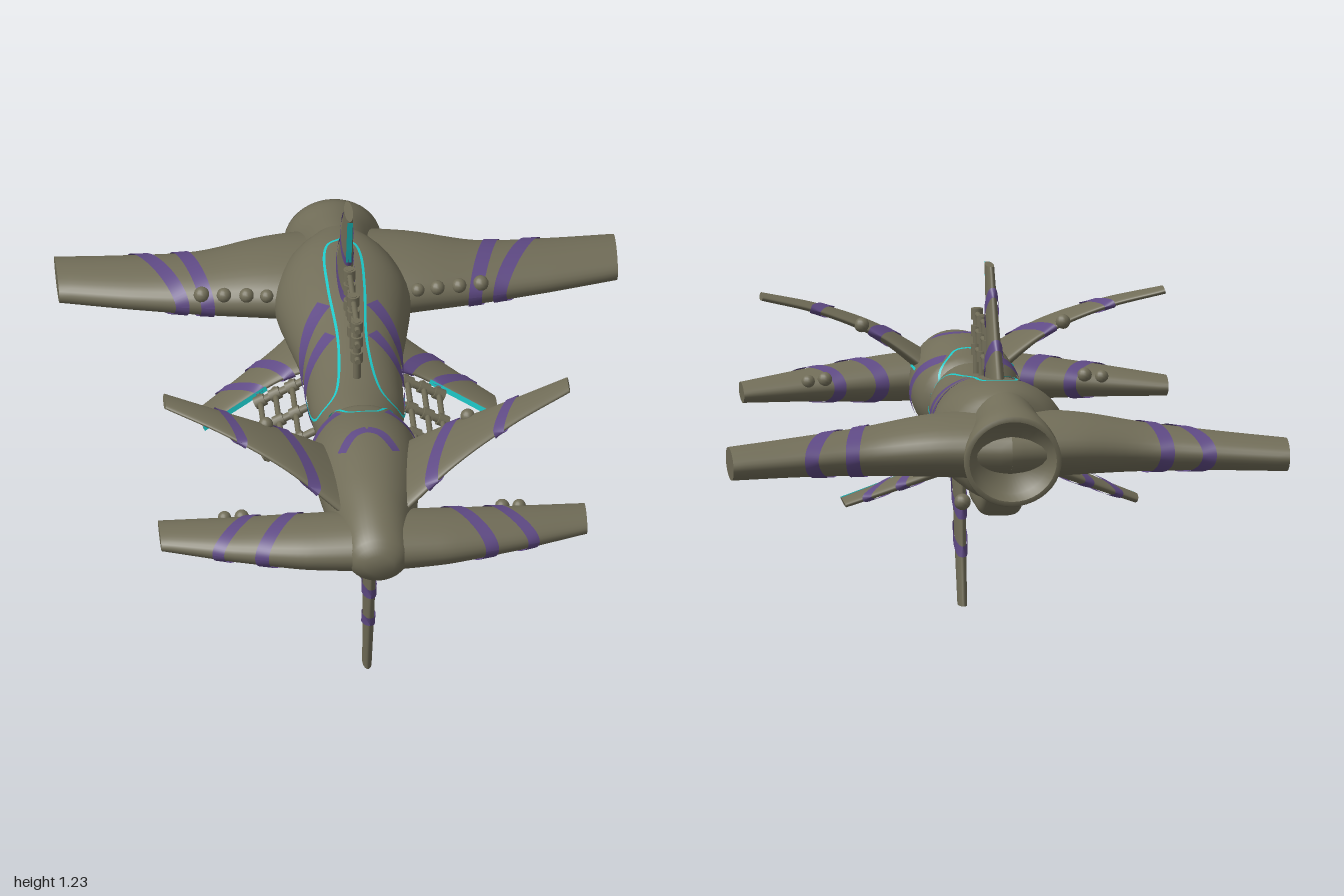
import * as THREE from 'three';

const V3 = (x, y, z) => new THREE.Vector3(x, y, z);
const paint = (name, color, side = THREE.FrontSide) => {
  const m = new THREE.MeshStandardMaterial({ color, side });
  m.name = name;
  return m;
};
const hullMat = paint('olive hull', 0x716d58);
const stripeMat = paint('purple stripe', 0x5f4a85, THREE.DoubleSide);
const glowMat = paint('cyan trim', 0x1cc8c8, THREE.DoubleSide);
const RAD = Math.PI / 180;

export function createModel() {
  const model = new THREE.Group();
  model.name = 'starship';

  const add = (name, geometry, material = hullMat, parent = model) => {
    const mesh = new THREE.Mesh(geometry, material);
    mesh.name = name;
    parent.add(mesh);
    return mesh;
  };

  // Joins rows of points into a smooth skin; closed rows wrap around
  const skin = (rows, closed = true) => {
    const n = rows[0].length, index = [];
    for (let i = 0; i < rows.length - 1; i++) {
      for (let j = 0; j < (closed ? n : n - 1); j++) {
        const k = (j + 1) % n, a = i * n, b = a + n;
        index.push(a + j, b + j, b + k, a + j, b + k, a + k);
      }
    }
    const g = new THREE.BufferGeometry().setFromPoints(rows.flat());
    g.setIndex(index);
    g.computeVertexNormals();
    return g;
  };
  const ring = (surf, u, n) => Array.from({ length: n }, (_, j) => surf(u, (j / n) * Math.PI * 2));
  const shrink = (row, s, dz = 0) => {
    const c = row.reduce((sum, p) => sum.add(p), V3(0, 0, 0)).divideScalar(row.length);
    return row.map(p => p.clone().sub(c).multiplyScalar(s).add(c).add(V3(0, 0, dz)));
  };

  // Painted band lying just above a surface, along a path of (u, v)
  const band = (name, surf, path, width, material, steps = 48) => {
    const e = 0.002, left = [], right = [];
    const at = t => { const [u, v] = path(t); return surf(u, v); };
    for (let i = 0; i <= steps; i++) {
      const t = i / steps, [u, v] = path(t);
      const du = surf(u + e, v).sub(surf(u - e, v)), dv = surf(u, v + e).sub(surf(u, v - e));
      const normal = du.cross(dv).normalize();
      const side = at(t + e).sub(at(t - e)).cross(normal).normalize().multiplyScalar(width / 2);
      const p = surf(u, v).addScaledVector(normal, 0.004);
      left.push(p.clone().sub(side));
      right.push(p.clone().add(side));
    }
    add(name, skin([left, right], false), material);
  };

  // Hull lofted from stations [z, half width, top, bottom]; u runs backwards along -z
  const hullSurface = (stations, power = 2) => {
    const slope = (i, k) => {
      const a = stations[Math.max(i - 1, 0)], b = stations[Math.min(i + 1, stations.length - 1)];
      return (b[k] - a[k]) / (b[0] - a[0]);
    };
    const value = (z, k) => {
      let i = 0;
      while (i < stations.length - 2 && z < stations[i + 1][0]) i++;
      const a = stations[i], b = stations[i + 1], h = b[0] - a[0];
      const t = THREE.MathUtils.clamp((z - a[0]) / h, 0, 1), s = 1 - t;
      return (1 + 2 * t) * s * s * a[k] + t * t * (3 - 2 * t) * b[k]
        + h * (t * s * s * slope(i, k) - t * t * s * slope(i + 1, k));
    };
    const bulge = q => Math.sign(q) * Math.abs(q) ** (2 / power);
    return (u, v) => {
      const top = value(-u, 2), bottom = value(-u, 3);
      return V3(value(-u, 1) * bulge(Math.cos(v)),
        (top + bottom) / 2 + (top - bottom) / 2 * bulge(Math.sin(v)), -u);
    };
  };
  const hull = (name, stations, { power, lean = 0, dish } = {}) => {
    const surf = hullSurface(stations, power), rows = [];
    const u0 = -stations[0][0], u1 = -stations[stations.length - 1][0];
    for (let i = 0; i <= 48; i++) rows.push(ring(surf, u0 + (u1 - u0) * i / 48, 40));
    const last = rows[48];
    rows.unshift(shrink(rows[0], 0));
    if (dish) rows.push(shrink(last, 0.9), shrink(last, 0.9), shrink(last, 0.75, 0.03), shrink(last, 0.4, 0.06), shrink(last, 0, 0.07));
    else rows.push(last, shrink(last, 0));
    // Lean tilts the tail so that its top reaches furthest back
    if (lean) new Set(rows.flat()).forEach(p => { p.z -= (p.y - 0.68) * lean * THREE.MathUtils.smoothstep(-p.z, 0.75, 0.93); });
    add(name, skin(rows), hullMat);
    return surf;
  };

  const front = hull('frontHull', [
    [1, 0.05, 0.73, 0.66], [0.97, 0.09, 0.77, 0.62], [0.9, 0.11, 0.81, 0.59], [0.8, 0.125, 0.845, 0.57],
    [0.7, 0.145, 0.865, 0.56], [0.5, 0.17, 0.885, 0.55], [0.4, 0.175, 0.875, 0.55],
    [0.3, 0.165, 0.85, 0.56], [0.24, 0.135, 0.83, 0.58], [0.2, 0.06, 0.76, 0.63]]);
  const mid = hull('midHull', [
    [0.32, 0.1, 0.83, 0.57], [0.22, 0.13, 0.825, 0.57], [0.1, 0.15, 0.82, 0.57], [0, 0.155, 0.825, 0.57],
    [-0.2, 0.165, 0.85, 0.56], [-0.4, 0.2, 0.88, 0.55], [-0.55, 0.22, 0.895, 0.53],
    [-0.65, 0.205, 0.9, 0.52], [-0.73, 0.17, 0.89, 0.52], [-0.78, 0.1, 0.88, 0.55]]);
  hull('tailPod', [
    [-0.6, 0.12, 0.89, 0.52], [-0.75, 0.125, 0.885, 0.52], [-0.85, 0.135, 0.87, 0.525],
    [-0.93, 0.155, 0.855, 0.53], [-0.98, 0.158, 0.835, 0.54]], { lean: 0.12, dish: true });
  hull('ventralKeel', [
    [-0.24, 0.05, 0.66, 0.55], [-0.34, 0.075, 0.66, 0.47], [-0.5, 0.08, 0.66, 0.458],
    [-0.61, 0.075, 0.66, 0.458], [-0.7, 0.06, 0.66, 0.53]], { power: 4 });

  // Fins lofted from stations [x, y, leading z, trailing z, thickness]
  const fin = (name, stations, { stripes = [], knobs = [], trim } = {}) => {
    const spine = new THREE.CatmullRomCurve3(stations.map(s => V3(s[0], s[1], s[4])));
    const chord = new THREE.CatmullRomCurve3(stations.map(s => V3(s[2], s[3], 0)));
    const surf = (u, v) => {
      const t = THREE.MathUtils.clamp(u, 0, 1), p = spine.getPoint(t), c = chord.getPoint(t);
      const d = spine.getPoint(Math.min(t + 0.01, 1)).sub(spine.getPoint(Math.max(t - 0.01, 0)));
      const off = p.z / 2 * Math.sin(v) / Math.hypot(d.x, d.y);
      return V3(p.x - d.y * off, p.y + d.x * off, (c.x + c.y) / 2 + (c.x - c.y) / 2 * Math.cos(v));
    };
    const rows = Array.from({ length: 25 }, (_, i) => ring(surf, i / 24, 32));
    rows.push(rows[24], shrink(rows[24], 0));
    add(name, skin(rows), hullMat);
    // Each stripe [u at trailing edge, u at leading edge, width] wraps around the fin
    stripes.forEach(([back, lead, w]) => band(name + 'Stripe', surf, t => {
      const v = t * Math.PI * 2;
      return [(back + lead) / 2 + (lead - back) / 2 * Math.cos(v), v];
    }, w, stripeMat, 64));
    if (trim) band(name + 'EdgeTrim', surf, t => [trim[0] + t * (trim[1] - trim[0]), 0], 0.018, glowMat);
    knobs.forEach(([u, v, r]) => {
      const k = add(name + 'Knob', new THREE.SphereGeometry(r, 14, 10));
      k.position.copy(surf(u, v * RAD));
    });
  };
  const finPair = (name, stations, options) => {
    fin('left' + name, stations, options);
    const flip = (options.knobs || []).map(([u, v, r]) => [u, -v, r]);
    fin('right' + name, stations.map(([x, ...rest]) => [-x, ...rest]), { ...options, knobs: flip });
  };

  finPair('RearWing', [
    [0, 0.71, -0.51, -0.97, 0.22], [0.225, 0.71, -0.545, -0.935, 0.2], [0.45, 0.695, -0.595, -0.895, 0.155],
    [0.675, 0.685, -0.65, -0.915, 0.125], [0.905, 0.675, -0.72, -0.945, 0.105]],
  { stripes: [[0.72, 0.57, 0.045], [0.57, 0.48, 0.045]],
    knobs: [[0.5, 30, 0.026], [0.42, 28, 0.024], [0.34, 26, 0.024], [0.27, 24, 0.022]] });
  finPair('FrontWing', [
    [0, 0.7, 0.985, 0.72, 0.17], [0.23, 0.69, 0.955, 0.7, 0.145], [0.46, 0.68, 0.89, 0.675, 0.105],
    [0.69, 0.668, 0.8, 0.645, 0.065]],
  { stripes: [[0.54, 0.74, 0.04], [0.34, 0.54, 0.045]], knobs: [[0.61, 150, 0.024], [0.69, 150, 0.022]] });
  finPair('Canard', [
    [0.08, 0.755, 0.8, 0.4, 0.07], [0.27, 0.885, 0.71, 0.46, 0.04], [0.46, 0.965, 0.61, 0.465, 0.03],
    [0.655, 1.02, 0.51, 0.425, 0.025]],
  { stripes: [[0.7, 0.59, 0.035], [0.36, 0.2, 0.045]], knobs: [[0.44, 160, 0.024]] });
  finPair('LowerRearFin', [
    [0.1, 0.63, -0.31, -0.62, 0.06], [0.22, 0.575, -0.33, -0.52, 0.045], [0.35, 0.515, -0.29, -0.44, 0.035],
    [0.475, 0.46, -0.24, -0.365, 0.028]],
  { stripes: [[0.82, 0.5, 0.035], [0.55, 0.25, 0.04]], trim: [0.45, 1] });
  fin('upperRearFin', [
    [0, 0.84, -0.31, -0.64, 0.06], [0, 0.97, -0.32, -0.53, 0.045], [0, 1.1, -0.28, -0.44, 0.035],
    [0, 1.23, -0.235, -0.36, 0.028]],
  { stripes: [[0.8, 0.5, 0.035], [0.4, 0.1, 0.04]], trim: [0.5, 1] });
  fin('lowerFrontFin', [
    [0, 0.62, 0.76, 0.4, 0.05], [0, 0.41, 0.68, 0.465, 0.04], [0, 0.2, 0.6, 0.465, 0.035],
    [0, 0, 0.525, 0.43, 0.03]],
  { stripes: [[0.31, 0.13, 0.04], [0.51, 0.38, 0.04], [0.71, 0.6, 0.035]], knobs: [[0.45, 180, 0.027]] });

  // Painted bands on the hulls, through points [z, angle from the side in degrees]
  const hullBand = (name, surf, points, width, material) => [1, -1].forEach(side => {
    const curve = new THREE.CatmullRomCurve3(points.map(([z, a]) => V3(-z, a * RAD, 0)));
    band(name, surf, t => {
      const p = curve.getPoint(THREE.MathUtils.clamp(t, 0, 1));
      return [p.x, side > 0 ? p.y : Math.PI - p.y];
    }, width, material);
  });
  hullBand('midHullStripe', mid, [[-0.18, 66], [-0.06, 15], [0.09, -60]], 0.05, stripeMat);
  hullBand('rearHullStripe', mid, [[-0.33, 66], [-0.22, 30], [-0.1, -10]], 0.055, stripeMat);
  hullBand('neckStripe', front, [[0.29, 62], [0.37, 15], [0.47, -65]], 0.045, stripeMat);
  hullBand('noseStripe', front, [[0.48, 90], [0.5, 75], [0.57, 58]], 0.035, stripeMat);
  hullBand('spineTrim', mid, [[-0.65, 90], [-0.6, 76], [-0.4, 73], [-0.1, 73], [0.1, 64], [0.17, 30], [0.12, 6], [-0.02, -2]], 0.009, glowMat);
  hullBand('neckTrim', front, [[0.33, 90], [0.32, 76], [0.27, 62], [0.23, 35]], 0.009, glowMat);
  hullBand('canardRootTrim', front, [[0.4, 25], [0.58, 20], [0.78, 30]], 0.009, glowMat);

  // Lattice racks standing around the mid hull, one ahead of each tail fin
  [['upper', 0], ['left', -117], ['right', 117]].forEach(([side, angle]) => {
    const rack = new THREE.Group();
    rack.name = side + 'Lattice';
    rack.position.set(0, 0.69, 0);
    rack.rotation.z = angle * RAD;
    model.add(rack);
    const heights = [0.21, 0.27, 0.325], posts = [0.055, -0.1, -0.26];
    for (const h of heights) {
      const rod = add('rod', new THREE.CylinderGeometry(0.0095, 0.0095, 0.385, 10), hullMat, rack);
      rod.rotation.x = Math.PI / 2;
      rod.position.set(0, h, -0.1);
    }
    for (const z of posts) {
      add('post', new THREE.CylinderGeometry(0.013, 0.013, 0.25, 10), hullMat, rack).position.set(0, 0.22, z);
      for (const h of heights) {
        add('joint', new THREE.CylinderGeometry(0.02, 0.02, 0.036, 12), hullMat, rack).position.set(0, h, z);
      }
    }
  });
  return model;
}
